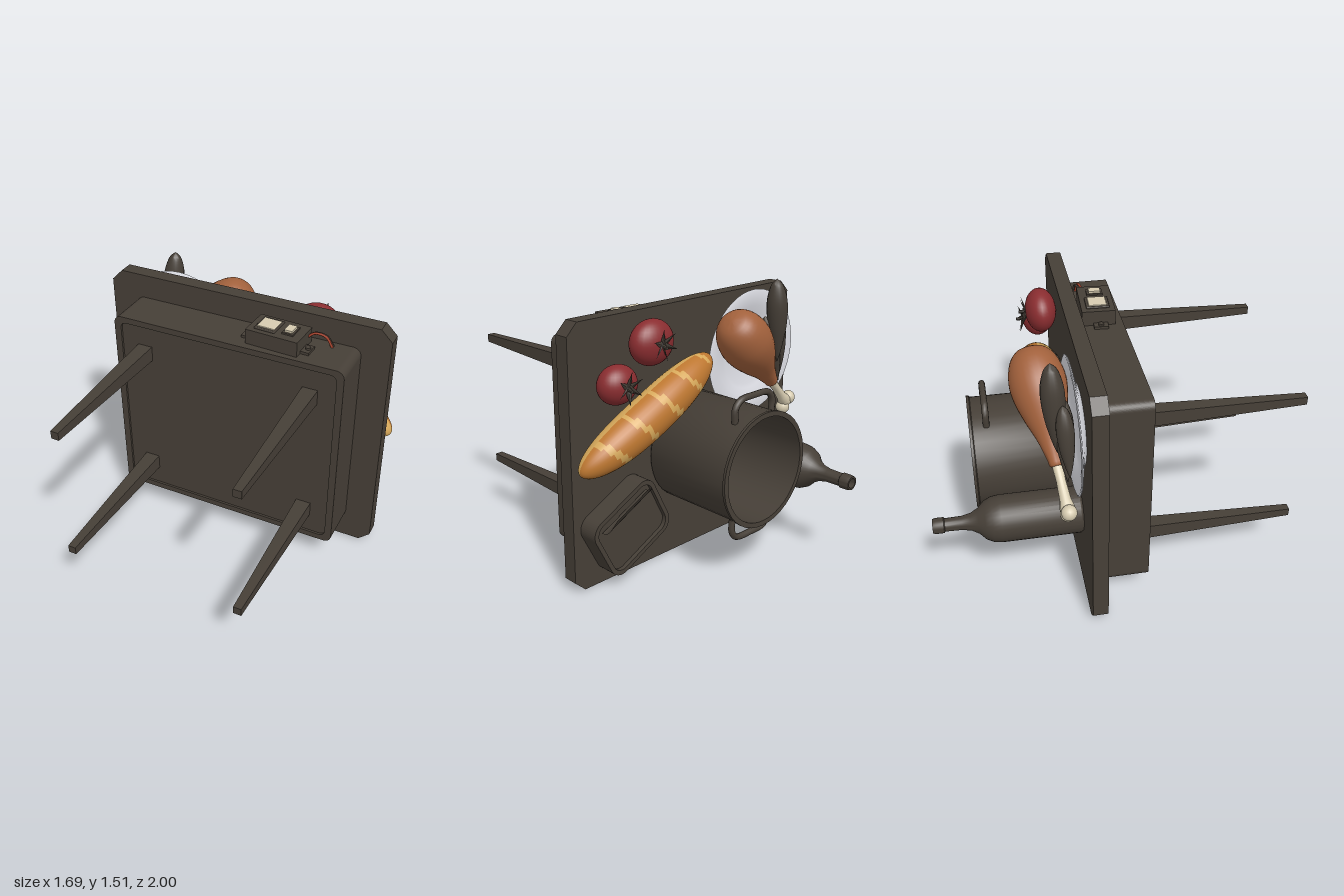
import * as THREE from 'three';
import { toCreasedNormals } from 'three/addons/utils/BufferGeometryUtils.js';
import { RoundedBoxGeometry } from 'three/addons/geometries/RoundedBoxGeometry.js';

const mat = (name, color, side = THREE.FrontSide) =>
  Object.assign(new THREE.MeshStandardMaterial({ color, side }), { name });
const V = (x, y, z) => new THREE.Vector3(x, y, z);
const UP = V(0, 0, -1); // the table lies on its side: its top faces -z

export function createModel() {
  const model = new THREE.Group();
  const dark = mat('darkBrown', 0x463f37, THREE.DoubleSide);
  const white = mat('porcelainWhite', 0xe6e7ee);
  const meat = mat('roastBrown', 0xa2613c);
  const bone = mat('boneCream', 0xd6cbb0);
  const red = mat('tomatoRed', 0x8a2d30);
  const crust = mat('crustOrange', 0xbd7730);
  const crumb = mat('crumbGold', 0xd6a85a);
  const wireRed = mat('wireRed', 0xa8452f);

  const add = (name, geo, material, pos, parent = model) => {
    const m = new THREE.Mesh(geo, material);
    m.name = name;
    if (pos) m.position.copy(pos);
    parent.add(m);
    return m;
  };
  // Lathe whose axis starts at a point and runs along a direction
  const turned = (name, profile, material, from, dir = UP, seg = 32) => {
    const geo = new THREE.LatheGeometry(profile.map(p => new THREE.Vector2(p[0], p[1])), seg);
    const m = add(name, toCreasedNormals(geo, 0.7), material, from);
    m.quaternion.setFromUnitVectors(V(0, 1, 0), dir.clone().normalize());
    return m;
  };
  // Smooth closed profile from a few points
  const smooth = pts => new THREE.SplineCurve(pts.map(p => new THREE.Vector2(...p)))
    .getPoints(28).map(p => [Math.max(p.x, 0), p.y]);
  const roundRect = (x0, y0, x1, y1, r, Type = THREE.Shape) => {
    const s = new Type();
    s.absarc(x1 - r, y0 + r, r, -Math.PI / 2, 0);
    s.absarc(x1 - r, y1 - r, r, 0, Math.PI / 2);
    s.absarc(x0 + r, y1 - r, r, Math.PI / 2, Math.PI);
    s.absarc(x0 + r, y0 + r, r, Math.PI, Math.PI * 1.5);
    s.closePath();
    return s;
  };
  const slab = (name, shape, z0, z1, parent = model) => add(name,
    new THREE.ExtrudeGeometry(shape, { depth: z1 - z0, bevelEnabled: false, curveSegments: 6 }),
    dark, V(0, 0, z0), parent);

  // Table top with clipped corners
  const c = 0.065, top = new THREE.Shape([
    [-0.85 + c, 0.005], [0.83 - c, 0.005], [0.83, c], [0.83, 1.46 - c],
    [0.83 - c, 1.46], [-0.85 + c, 1.46], [-0.85, 1.46 - c], [-0.85, c],
  ].map(p => new THREE.Vector2(...p)));
  slab('tableTop', top, -0.195, -0.11);

  // Apron: raised rim round a slightly sunk panel
  const rim = roundRect(-0.69, 0.15, 0.67, 1.32, 0.045);
  rim.holes.push(roundRect(-0.65, 0.185, 0.63, 1.285, 0.035, THREE.Path));
  slab('apronRim', rim, -0.11, 0.145);
  slab('apronPanel', roundRect(-0.66, 0.175, 0.64, 1.295, 0.035), -0.11, 0.132);

  // Four tapered square legs
  for (const x of [-0.508, 0.485]) for (const y of [0.345, 1.12]) {
    const g = new THREE.CylinderGeometry(0.032, 0.062, 0.88, 4).toNonIndexed();
    g.rotateY(Math.PI / 4).rotateX(Math.PI / 2);
    g.computeVertexNormals();
    add('leg', g, dark, V(x, y, 0.56));
  }

  // Switch box on the apron edge
  const box = new THREE.Group();
  box.name = 'switchBox';
  box.position.set(0.25, 1.32, 0.015);
  box.rotation.y = -0.05;
  model.add(box);
  add('boxBody', new THREE.BoxGeometry(0.3, 0.085, 0.185), dark, V(0, 0.0425, 0), box);
  add('boxLid', new RoundedBoxGeometry(0.12, 0.012, 0.13, 2, 0.005), dark, V(-0.055, 0.089, 0), box);
  add('largeButton', new RoundedBoxGeometry(0.1, 0.009, 0.1, 2, 0.004), bone, V(-0.055, 0.096, 0), box);
  add('rockerFrame', new THREE.BoxGeometry(0.065, 0.01, 0.09), dark, V(0.07, 0.089, 0), box);
  add('rocker', new THREE.BoxGeometry(0.045, 0.022, 0.065), bone, V(0.07, 0.095, 0), box);
  for (const s of [-1, 1]) {
    add('mountTab', new THREE.BoxGeometry(0.05, 0.015, 0.08), dark, V(s * 0.172, 0.008, 0.01), box);
    add('tabScrew', new THREE.CylinderGeometry(0.015, 0.015, 0.015, 10), dark, V(s * 0.177, 0.02, 0.01), box);
  }
  const wire = (name, z, h, m) => add(name, new THREE.TubeGeometry(new THREE.CatmullRomCurve3([
    V(0.39, 1.36, z), V(0.43, 1.36 + h, z - 0.01), V(0.49, 1.35 + h, z - 0.02), V(0.53, 1.31, z - 0.03),
  ]), 16, 0.007, 6), m);
  wire('redWire', -0.03, 0.03, wireRed);
  wire('darkWire', -0.045, 0.025, dark);

  // Hollow cooking pot with two bow handles
  turned('pot', [[0, 0], [0.3, 0], [0.312, 0.015], [0.312, 0.54], [0.32, 0.545], [0.32, 0.56],
    [0.292, 0.56], [0.292, 0.03], [0, 0.03]], dark, V(-0.015, 0.635, -0.195), UP, 40);
  for (const s of [-1, 1]) {
    const path = new THREE.CatmullRomCurve3([[-0.145, 0.27], [-0.145, 0.345], [-0.11, 0.385], [0, 0.393],
      [0.11, 0.385], [0.145, 0.345], [0.145, 0.27]].map(p => V(p[0] - 0.015, 0.635 + s * p[1], -0.66)));
    add('potHandle', new THREE.TubeGeometry(path, 28, 0.018, 8), dark);
  }

  // Bottle
  turned('bottle', [[0, 0], [0.12, 0], [0.13, 0.012], [0.13, 0.44], [0.124, 0.485], [0.105, 0.525],
    [0.07, 0.56], [0.048, 0.6], [0.038, 0.65], [0.036, 0.74], [0.043, 0.745], [0.043, 0.785],
    [0.039, 0.805], [0.028, 0.805], [0.026, 0.7], [0, 0.7]], dark, V(-0.46, 0.5, -0.195));

  // Open tin with a peeled-back lid
  const tin = new THREE.Group();
  tin.name = 'tin';
  tin.position.set(0.52, 0.325, 0);
  tin.rotation.z = -0.47;
  model.add(tin);
  const wall = roundRect(-0.23, -0.19, 0.23, 0.19, 0.08);
  wall.holes.push(roundRect(-0.205, -0.165, 0.205, 0.165, 0.06, THREE.Path));
  slab('tinWall', wall, -0.31, -0.195, tin);
  slab('tinFill', roundRect(-0.21, -0.17, 0.21, 0.17, 0.065), -0.285, -0.195, tin);
  const lid = new THREE.PlaneGeometry(0.34, 1, 8, 8), lp = lid.attributes.position;
  for (let i = 0; i < lp.count; i++) {
    const t = lp.getY(i) + 0.5;
    lp.setXYZ(i, lp.getX(i) * (1 - 0.3 * t ** 5), 0.13 + 0.1 * t * t, -0.305 - 0.12 * t);
  }
  lid.computeVertexNormals();
  add('tinLid', lid, dark, null, tin);

  // Plate
  turned('plate', [[0, 0], [0.21, 0], [0.23, 0.012], [0.36, 0.04], [0.365, 0.046], [0.355, 0.05],
    [0.27, 0.036], [0.225, 0.022], [0.2, 0.014], [0, 0.014]], white, V(-0.485, 1.09, -0.195), UP, 48);

  // Drumstick
  const s0 = V(-0.12, 1.36, -0.4), s1 = V(-0.745, 0.735, -0.3), axis = s1.clone().sub(s0);
  turned('drumstickMeat', smooth([[0, 0], [0.075, 0.02], [0.125, 0.08], [0.15, 0.18], [0.142, 0.28],
    [0.11, 0.39], [0.07, 0.5], [0.045, 0.6], [0.036, 0.64], [0, 0.645]]), meat, s0, axis);
  turned('drumstickBone', [[0.03, 0.6], [0.025, 0.72], [0.03, 0.82], [0.04, 0.86], [0.035, 0.89], [0, 0.9]],
    bone, s0, axis, 16);
  for (const s of [-1, 1])
    add('boneKnuckle', new THREE.SphereGeometry(0.042, 16, 12), bone,
      s1.clone().add(V(s * 0.025, -s * 0.025, 0)));

  // Dark pods resting on the plate
  for (const [a, b, r] of [
    [V(-0.56, 1.52, -0.345), V(-0.61, 1.02, -0.33), 0.06],
    [V(-0.53, 1.3, -0.29), V(-0.68, 0.88, -0.29), 0.05],
    [V(-0.63, 1.32, -0.3), V(-0.7, 0.92, -0.28), 0.045],
  ]) {
    const d = b.clone().sub(a), L = d.length();
    turned('pod', smooth([[0, 0], [r * 0.6, L * 0.08], [r, L * 0.28], [r * 0.9, L * 0.55],
      [r * 0.45, L * 0.82], [0, L]]), dark, a, d, 16);
  }

  // Tomatoes with leafy crowns
  for (const [x, y, r] of [[0.36, 1.305, 0.135], [0.595, 1.13, 0.115]]) {
    add('tomato', new THREE.SphereGeometry(1, 28, 20), red, V(x, y, -0.285)).scale.set(r, r * 0.9, 0.088);
    for (let i = 0; i < 6; i++) {
      const a = i * Math.PI / 3 + x;
      const leaf = new THREE.ConeGeometry(0.022, 0.09, 4).scale(1, 1, 0.3).translate(0, 0.045, 0);
      add('tomatoLeaf', leaf, dark, V(x, y, -0.367)).quaternion
        .setFromUnitVectors(V(0, 1, 0), V(Math.cos(a), Math.sin(a), -0.3).normalize());
    }
    turned('tomatoStem', [[0.012, 0], [0.009, 0.045], [0, 0.045]], dark, V(x, y, -0.365), V(0.2, -0.2, -1), 8);
  }

  // Bread: lofted rings, dark base, golden sides and slashes
  const A = V(0.84, 0.71, 0), B = V(-0.08, 1.15, 0), d = B.clone().sub(A).normalize();
  const side = UP.clone().cross(d), nL = 64, nA = 32, pos = [], lists = [[], [], []];
  for (let i = 0; i <= nL; i++) {
    const t = (1 - Math.cos(i / nL * Math.PI)) / 2, e = Math.abs(2 * t - 1);
    const r = Math.sqrt(Math.max(0, 1 - e ** 2.6)), lift = 0.305 - 0.025 * e * e;
    for (let j = 0; j <= nA; j++) {
      const a = j / nA * Math.PI * 2;
      const p = A.clone().lerp(B, t).addScaledVector(side, Math.cos(a) * r * 0.118)
        .addScaledVector(UP, Math.max(0.197, lift + Math.sin(a) * r * 0.115));
      pos.push(p.x, p.y, p.z);
      if (i === nL || j === nA) continue;
      const f = t * 5.2 + 0.25 * Math.cos(a) + 0.1;
      const slash = f - Math.floor(f) < 0.17 && t > 0.06 && t < 0.94;
      const k = -p.z < 0.235 ? 0 : slash || Math.sin(a) < -0.15 ? 1 : 2;
      const q = i * (nA + 1) + j, n = q + nA + 1;
      lists[k].push(q, q + 1, n + 1, q, n + 1, n);
    }
  }
  const bread = new THREE.BufferGeometry();
  bread.setAttribute('position', new THREE.Float32BufferAttribute(pos, 3));
  bread.setIndex(lists.flat());
  let start = 0;
  lists.forEach((l, k) => { bread.addGroup(start, l.length, k); start += l.length; });
  bread.computeVertexNormals();
  add('bread', bread, [dark, crumb, crust]);

  return model;
}
